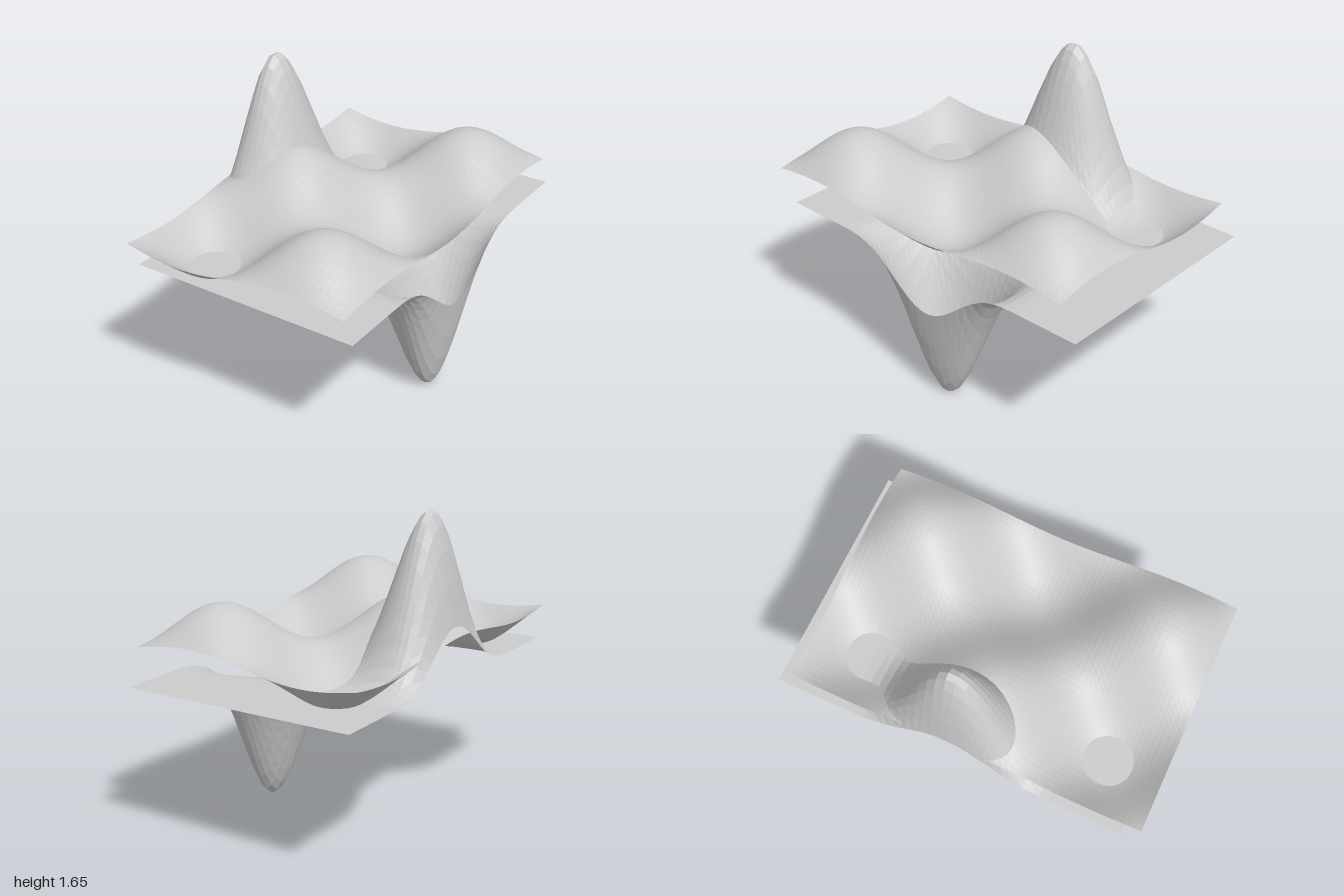
import * as THREE from 'three';

const material = new THREE.MeshStandardMaterial({ color: 0xcccccc, side: THREE.DoubleSide, flatShading: true });
const HALF_X = 0.632, HALF_Z = 0.957;

// Open rectangular sheet whose height follows a rule of local x and z
function heightSheet(name, xSegments, zSegments, height) {
  const geometry = new THREE.PlaneGeometry(2 * HALF_X, 2 * HALF_Z, xSegments, zSegments);
  geometry.rotateX(-Math.PI / 2);
  const p = geometry.attributes.position;
  for (let i = 0; i < p.count; i++) p.setY(i, height(p.getX(i), p.getZ(i)));
  geometry.computeVertexNormals();
  const mesh = new THREE.Mesh(geometry, material);
  mesh.name = name;
  return mesh;
}

// Rippled sheet: crossed sine waves
function ripple(x, z) {
  return -0.21 * Math.sin(4.74 * x) * Math.cos(4.71 * z);
}

// Bump profile across the sheet: slow rise to the summit, steep fall to the edge
function bumpAcross(d) {
  const summit = 0.482;
  if (d > summit) return 1 - 30 * (d - summit) ** 2;
  return Math.sin((Math.PI / 2) * (d / summit) ** 1.4) ** 2;
}

// Bump profile along the sheet: a bell that fades to flat
function bumpAlong(z) {
  const d = Math.min(Math.abs(z) / 0.64, 1);
  return Math.max(Math.cos((Math.PI / 2) * d), 0) ** 3.8;
}

// Peak on one side, matching pit on the other
function peakAndPit(x, z) {
  return -Math.sign(x) * 0.833 * bumpAcross(Math.abs(x)) * bumpAlong(z);
}

export function createModel() {
  const group = new THREE.Group();
  group.name = 'surfaces';

  const wave = heightSheet('rippledSheet', 40, 60, ripple);
  wave.position.set(0.004, 1, 0.043);

  const bump = heightSheet('peakAndPitSheet', 40, 39, peakAndPit);
  bump.position.set(-0.008, 0.828, -0.043);

  group.add(wave, bump);
  return group;
}
